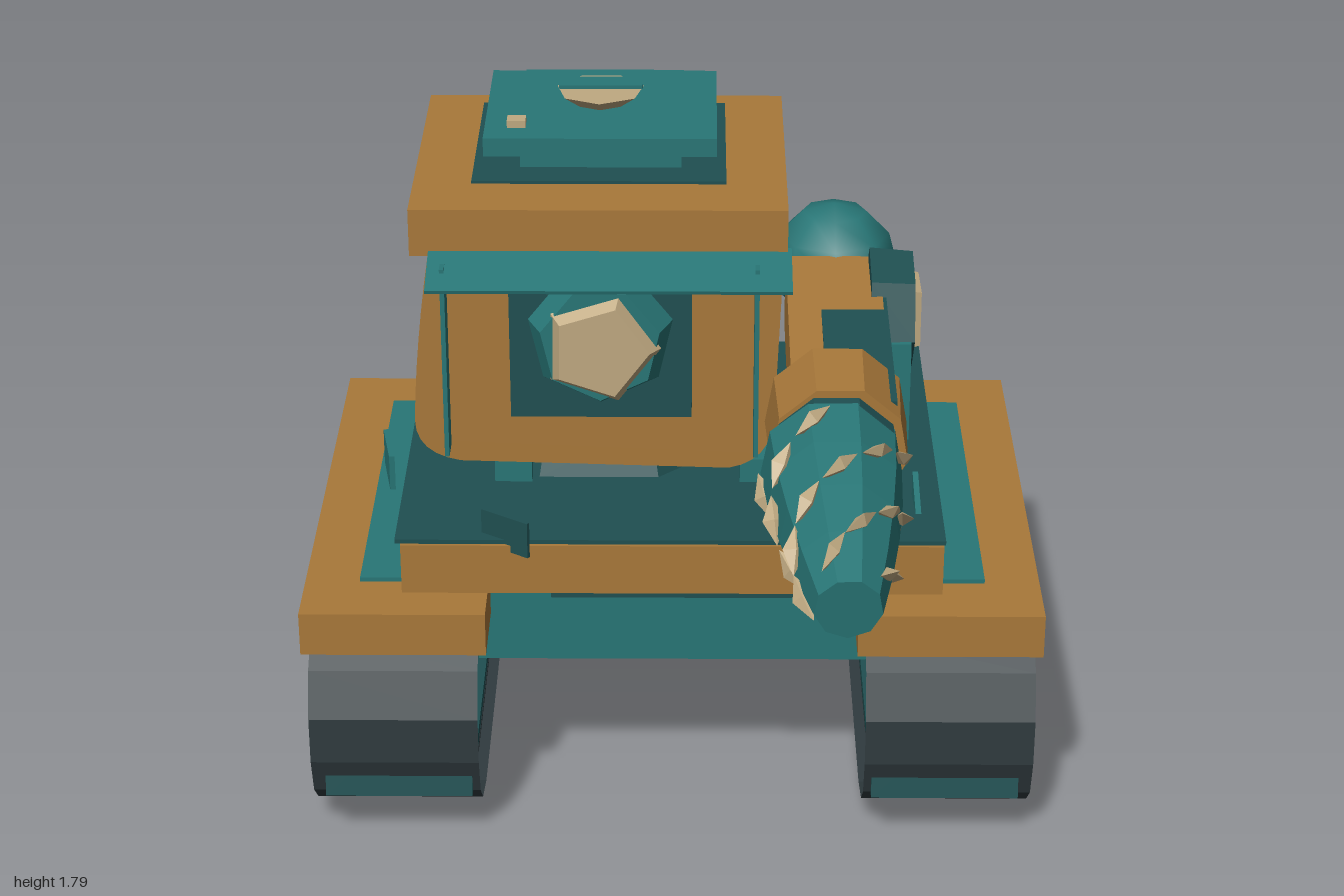
import * as THREE from 'three';

const mat = (color, flat = true) =>
  new THREE.MeshStandardMaterial({ color, flatShading: flat, side: THREE.DoubleSide });
const OCHRE = mat(0xa8783a), TEAL = mat(0x287676), DARK = mat(0x1f4f51);
const BEIGE = mat(0xbfa981), TRACK = mat(0x303b3f), TEAL_SMOOTH = mat(0x287676, false);

function add(parent, name, geo, material, x = 0, y = 0, z = 0) {
  const m = new THREE.Mesh(geo, material);
  m.name = name;
  m.position.set(x, y, z);
  parent.add(m);
  return m;
}

// box given by its limits on each axis
function box(parent, name, material, x0, x1, y0, y1, z0, z1) {
  const g = new THREE.BoxGeometry(x1 - x0, y1 - y0, z1 - z0);
  return add(parent, name, g, material, (x0 + x1) / 2, (y0 + y1) / 2, (z0 + z1) / 2);
}

// faceted disc with its axis along x or z
function disc(parent, name, material, r0, r1, len, sides, axis, x, y, z, spin = 0) {
  const g = new THREE.CylinderGeometry(r1, r0, len, sides);
  g.rotateY(spin);
  if (axis === 'x') g.rotateZ(-Math.PI / 2);
  if (axis === 'z') g.rotateX(Math.PI / 2);
  return add(parent, name, g, material, x, y, z);
}

// extrude a (z, y) outline along x from x0 to x1
function sideExtrude(points, hole, x0, x1) {
  const v = (p) => new THREE.Vector2(-p[0], p[1]);
  const shape = new THREE.Shape(points.map(v));
  if (hole) shape.holes.push(new THREE.Path(hole.map(v)));
  const g = new THREE.ExtrudeGeometry(shape, { depth: x1 - x0, bevelEnabled: false });
  return g.rotateY(Math.PI / 2).translate(x0, 0, 0);
}

// ribbon of flat plates following a closed (z, y) loop
function treadGeometry(loop, x0, x1) {
  const pos = [];
  loop.forEach(([z, y], i) => {
    const [z2, y2] = loop[(i + 1) % loop.length];
    pos.push(x0, y, z, x1, y2, z2, x1, y, z, x0, y, z, x0, y2, z2, x1, y2, z2);
  });
  const g = new THREE.BufferGeometry();
  g.setAttribute('position', new THREE.Float32BufferAttribute(pos, 3));
  g.computeVertexNormals();
  return g;
}

function buildTrack(s) {
  const track = new THREE.Group();
  track.name = s > 0 ? 'leftTrack' : 'rightTrack';
  const span = (a, b) => (s > 0 ? [a, b] : [-b, -a]);

  const loop = [[0.34, 0.56], [0.43, 0.5], [0.48, 0.38], [0.48, 0.25], [0.44, 0.14], [0.36, 0.07],
    [0.22, 0.035], [-0.74, 0.035], [-0.88, 0.07], [-0.96, 0.14], [-1, 0.25], [-1, 0.38],
    [-0.95, 0.5], [-0.86, 0.56]];
  add(track, 'tread', treadGeometry(loop, ...span(0.51, 0.955)), TRACK);
  box(track, 'groundPlate', TRACK, ...span(0.54, 0.92), 0, 0.05, -0.69, 0.17);

  // open inner frame
  add(track, 'trackFrame', sideExtrude(
    [[0.47, 0.14], [0.41, 0.51], [-0.9, 0.52], [-0.98, 0.14]],
    [[0.43, 0.175], [0.38, 0.44], [-0.87, 0.42], [-0.94, 0.17]], ...span(0.53, 0.92)), DARK);

  // road wheels with hub caps
  [0.22, -0.255, -0.735].forEach((z, i) => {
    disc(track, 'wheel', OCHRE, 0.165, 0.18, 0.16, 6, 'x', s * 0.83, 0.29, z, 0.3 + i * 0.4);
    disc(track, 'wheelFace', OCHRE, s > 0 ? 0.18 : 0.12, s > 0 ? 0.12 : 0.18, 0.045, 6, 'x',
      s * 0.93, 0.29, z, 0.3 + i * 0.4);
    disc(track, 'hub', i ? DARK : BEIGE, i ? 0.13 : 0.09, i ? 0.13 : 0.09, 0.03, i ? 4 : 5, 'x',
      s * 0.955, 0.295, z, 1.05);
  });

  box(track, 'fender', OCHRE, ...span(0.485, 0.97), 0.56, 0.68, -1, 0.45);
  box(track, 'fenderPanel', TEAL, ...span(0.66, 0.825), 0.67, 0.692, -0.82, 0.27);
  return track;
}

function buildTurret() {
  const t = new THREE.Group();
  t.name = 'turret';
  const cx = -0.2;
  disc(t, 'turretRing', DARK, 0.42, 0.36, 0.14, 8, 'y', cx, 0.91, -0.42, Math.PI / 8);

  // cabin with rounded lower corners
  const s = new THREE.Shape();
  s.moveTo(-0.64, 1.5);
  s.quadraticCurveTo(-0.68, 1.25, -0.69, 1.02);
  s.quadraticCurveTo(-0.69, 0.92, -0.57, 0.9);
  s.lineTo(0.15, 0.88);
  s.quadraticCurveTo(0.26, 0.9, 0.27, 1.02);
  s.lineTo(0.29, 1.5);
  const cabin = new THREE.ExtrudeGeometry(s, { depth: 0.82, bevelEnabled: false, curveSegments: 6 });
  add(t, 'cabin', cabin, OCHRE, 0, 0, -0.83);

  // front window, lamp and side posts
  box(t, 'windowPanel', DARK, -0.43, 0.05, 1.05, 1.48, -0.06, 0.03);
  disc(t, 'lampRim', TEAL, 0.2, 0.16, 0.08, 7, 'z', cx + 0.01, 1.29, 0.06);
  disc(t, 'lampGlass', BEIGE, 0.16, 0.13, 0.04, 5, 'z', cx + 0.01, 1.28, 0.11, 0.3);
  for (const x of [-0.6, 0.22]) box(t, 'frontPost', TEAL, x - 0.006, x + 0.006, 0.95, 1.49, -0.08, 0.07);
  box(t, 'visor', TEAL, -0.64, 0.31, 1.475, 1.485, -0.04, 0.14).rotation.x = 0.28;

  // roof, hatch and hatch handle
  box(t, 'roof', OCHRE, -0.69, 0.3, 1.49, 1.62, -0.88, -0.02);
  box(t, 'hatchFrame', DARK, -0.535, 0.14, 1.615, 1.628, -0.8, -0.205);
  box(t, 'hatchNeck', TEAL, -0.41, 0.02, 1.63, 1.67, -0.74, -0.3);
  box(t, 'hatch', TEAL, -0.505, 0.115, 1.68, 1.73, -0.78, -0.25);
  box(t, 'hatchHinge', TEAL, -0.415, 0.025, 1.65, 1.72, -0.815, -0.775);
  disc(t, 'hatchKnob', BEIGE, 0.07, 0.12, 0.035, 7, 'y', cx, 1.755, -0.515);
  box(t, 'hatchHandle', TEAL, -0.31, -0.085, 1.785, 1.795, -0.55, -0.48);
  box(t, 'hatchBolt', BEIGE, -0.445, -0.395, 1.73, 1.75, -0.375, -0.33);
  return t;
}

function buildDrillArm() {
  const a = new THREE.Group();
  a.name = 'drillArm';
  add(a, 'shoulderBall', new THREE.SphereGeometry(0.18, 8, 6), TEAL_SMOOTH, 0.45, 1.18, -0.72);
  box(a, 'armBracket', TEAL, 0.55, 0.65, 0.82, 1.12, -0.68, -0.285);
  disc(a, 'pivot', DARK, 0.17, 0.16, 0.12, 6, 'x', 0.6, 1.15, -0.46, 0.2);
  disc(a, 'pivotCap', BEIGE, 0.12, 0.11, 0.03, 4, 'x', 0.665, 1.15, -0.46, 0.75);
  box(a, 'arm', OCHRE, 0.31, 0.57, 1.02, 1.23, -0.58, 0.12).rotation.x = 0.09;
  box(a, 'armRail', DARK, 0.4, 0.58, 1.2, 1.225, -0.45, 0.26).rotation.x = 0.05;
  disc(a, 'drillHousing', OCHRE, 0.19, 0.18, 0.24, 9, 'z', 0.43, 1.095, 0.2);
  disc(a, 'drillCollar', DARK, 0.17, 0.17, 0.06, 9, 'z', 0.42, 1.085, 0.335);

  // tapered drill, dipping a little to the tip
  const drill = new THREE.Group();
  drill.name = 'drill';
  drill.position.set(0.41, 1.075, 0.34);
  drill.rotation.set(0.11, 0.03, 0);
  a.add(drill);
  const radius = (z) => 0.185 - 0.1 * Math.pow(z / 0.66, 1.6);
  const profile = [[0, 0], [radius(0), 0]];
  for (let i = 1; i <= 4; i++) profile.push([radius(i * 0.165), i * 0.165]);
  profile.push([0, 0.66]);
  const body = new THREE.LatheGeometry(profile.map((p) => new THREE.Vector2(...p)), 9);
  add(drill, 'drillBody', body.rotateX(Math.PI / 2), TEAL);

  // slivers of blade in four spirals
  const blade = new THREE.OctahedronGeometry(1);
  const at = (start, u) => {
    const ang = (start * Math.PI) / 2 + u * Math.PI * 1.2, z = 0.03 + u * 0.58;
    return new THREE.Vector3(Math.cos(ang) * radius(z), Math.sin(ang) * radius(z), z);
  };
  for (let k = 0; k < 4; k++) {
    for (let i = 0; i < 6; i++) {
      const u = (i + 0.5) / 6, p = at(k, u);
      const m = add(drill, 'drillBlade', blade, BEIGE, p.x, p.y, p.z);
      m.up.set(p.x, p.y, 0).normalize();
      const dir = at(k, u + 0.04).sub(at(k, u - 0.04)).normalize();
      m.quaternion.setFromRotationMatrix(
        new THREE.Matrix4().lookAt(dir, new THREE.Vector3(), m.up));
      m.scale.set(0.018, 0.03, 0.065);
    }
  }
  return a;
}

export function createModel() {
  const root = new THREE.Group();
  root.name = 'drillTank';
  for (const s of [1, -1]) root.add(buildTrack(s));

  // hull and deck
  box(root, 'hull', TEAL, -0.52, 0.52, 0.42, 0.65, -0.9, 0.22);
  box(root, 'deckBase', DARK, -0.32, 0.32, 0.64, 0.69, -0.9, 0.28);
  box(root, 'deck', OCHRE, -0.71, 0.71, 0.68, 0.82, -0.92, 0.33);
  box(root, 'deckPlate', DARK, -0.725, 0.715, 0.82, 0.832, -0.94, 0.32);

  // small deck fittings
  box(root, 'deckFin', TEAL, -0.78, -0.765, 0.8, 0.9, -0.2, -0.03).rotation.y = 0.17;
  box(root, 'deckFin', DARK, -0.51, -0.36, 0.8, 0.9, 0.31, 0.32).rotation.y = -0.6;
  add(root, 'deckFin', sideExtrude([[0.22, 0.86], [0.05, 0.9], [0.05, 0.83]], null, 0.64, 0.655), TEAL);
  for (const x of [-0.43, 0.23]) box(root, 'ringClamp', TEAL, x - 0.05, x + 0.05, 0.82, 0.9, -0.18, -0.02);

  root.add(buildTurret(), buildDrillArm());
  return root;
}
